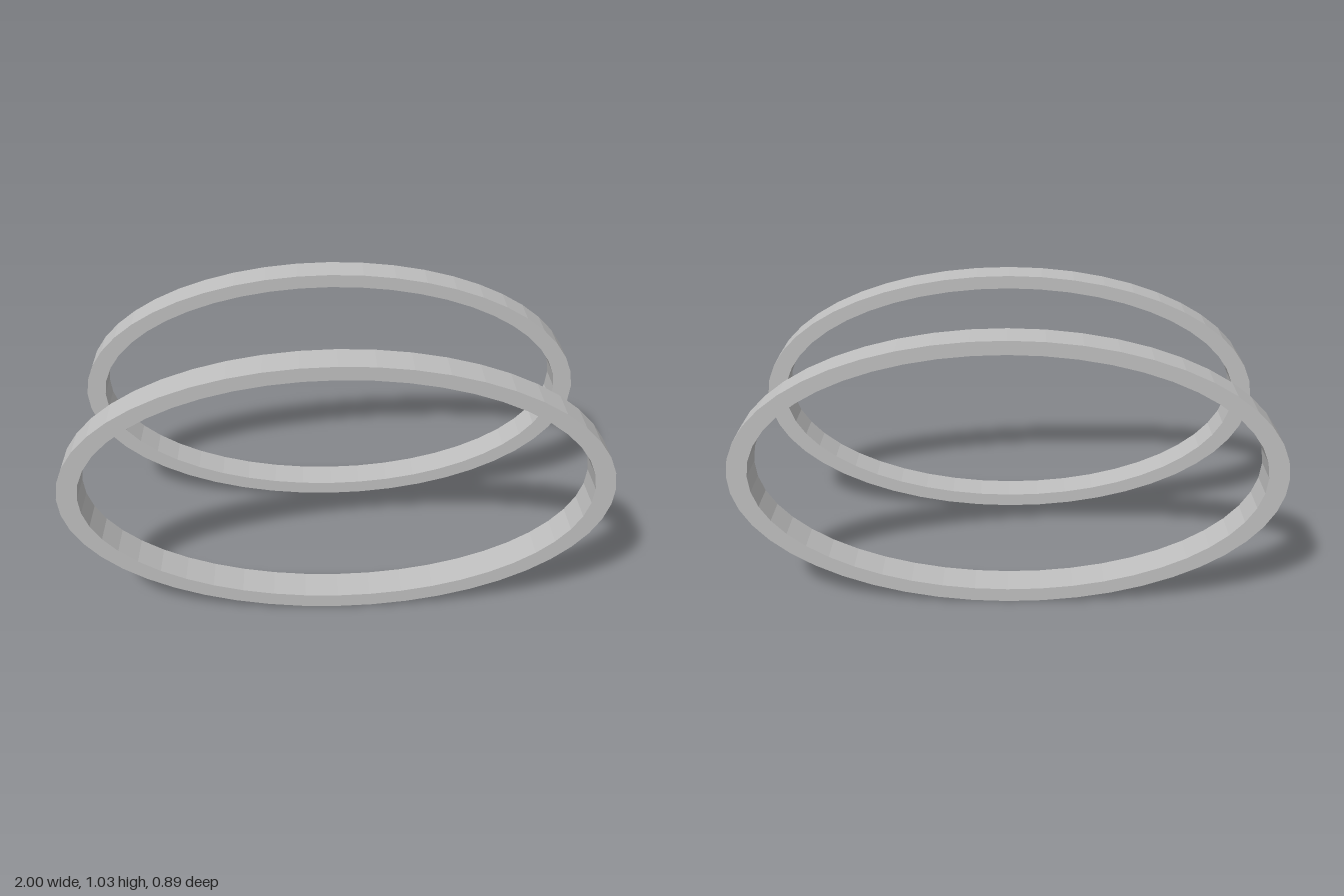
import * as THREE from 'three';

const SEGMENTS = 48;
const CENTER_Y = 0.513;
const DEPTH = 0.13;

// points of an ellipse centred on the origin
function ellipse(rx, ry) {
  return Array.from({ length: SEGMENTS }, (_, i) => {
    const a = (i / SEGMENTS) * Math.PI * 2;
    return new THREE.Vector2(rx * Math.cos(a), ry * Math.sin(a));
  });
}

export function createModel() {
  const model = new THREE.Group();
  model.name = 'ovalRingPair';

  const grey = new THREE.MeshStandardMaterial({ color: 0xc0c0c0 });
  grey.name = 'grey';

  // flat oval band with a slightly thicker wall at its ends
  const outline = new THREE.Shape(ellipse(1, 0.513));
  outline.holes.push(new THREE.Path(ellipse(0.926, 0.462)));
  const band = new THREE.ExtrudeGeometry(outline, { depth: DEPTH, bevelEnabled: false });
  band.translate(0, CENTER_Y, -DEPTH / 2);

  // matching front and back rings
  for (const [name, z] of [['frontRing', 0.382], ['backRing', -0.382]]) {
    const ring = new THREE.Mesh(band, grey);
    ring.name = name;
    ring.position.z = z;
    model.add(ring);
  }
  return model;
}
